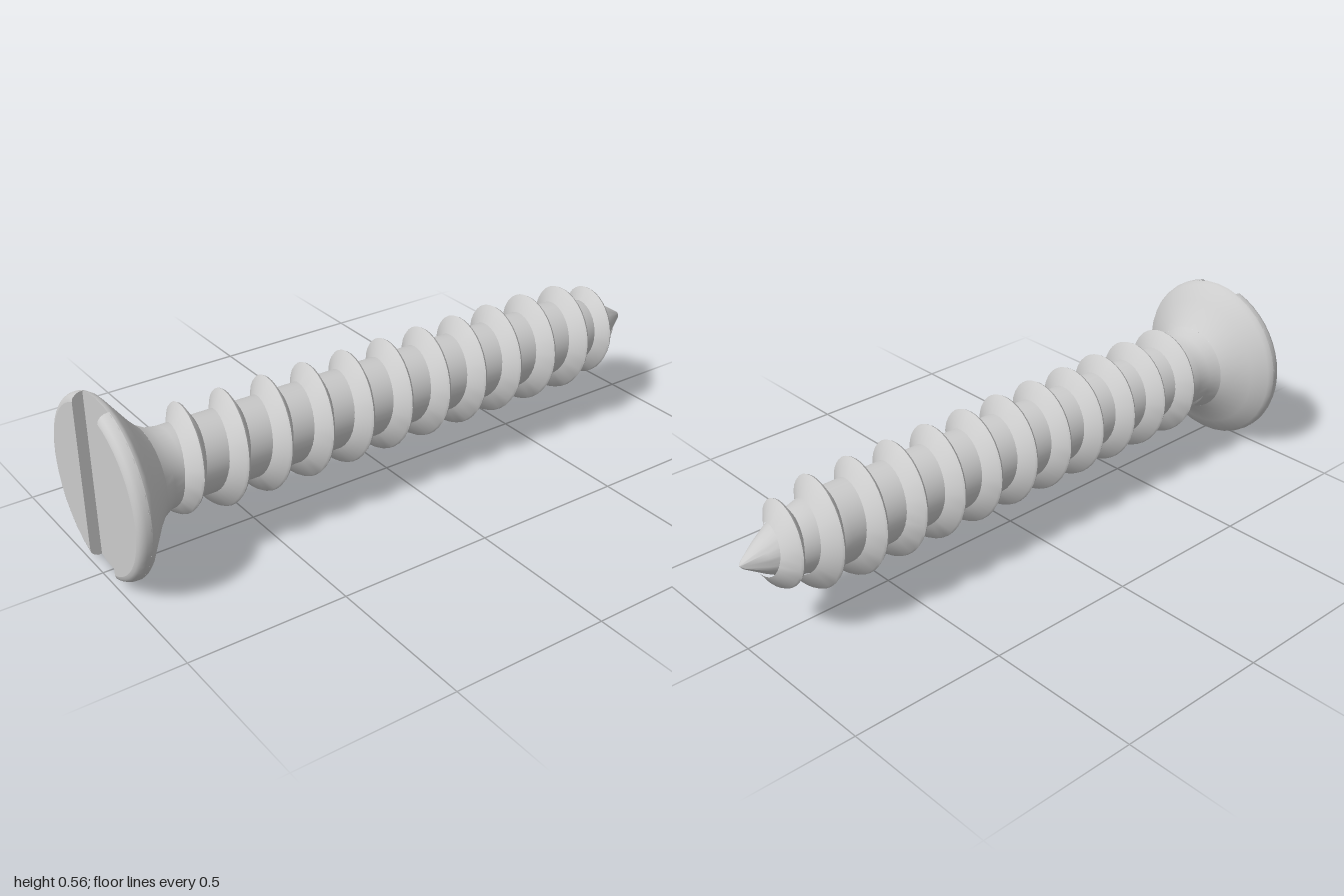
import * as THREE from 'three';
import { toCreasedNormals } from 'three/addons/utils/BufferGeometryUtils.js';

const material = new THREE.MeshStandardMaterial({ color: 0xcccccc });
const HEAD_R = 0.278, SLOT_Z = 0.966, SLOT_HALF = 0.08;

// [z, radius] from the tip to the underside of the head
const shaftProfile = [
  [-1, 0], [-0.988, 0.013], [-0.93, 0.05], [-0.87, 0.082], [-0.8, 0.1], [-0.74, 0.115], [-0.7, 0.118],
  [0.77, 0.118], [0.81, 0.124], [0.845, 0.144],
];
const headProfile = [[0.845, 0.144], [0.875, 0.176], [0.91, 0.222], [0.945, 0.268], [0.956, 0.276], [SLOT_Z, HEAD_R], [SLOT_Z, 0]];
// [z, radius] of the thread's crest
const crestProfile = [[-0.93, 0.045], [-0.905, 0.095], [-0.88, 0.128], [-0.83, 0.142], [-0.78, 0.157], [-0.7, 0.17], [1, 0.17]];

// Linear lookup in a [z, radius] profile
function radiusAt(profile, z) {
  if (z <= profile[0][0]) return profile[0][1];
  for (let i = 1; i < profile.length; i++) {
    const [z0, r0] = profile[i - 1], [z1, r1] = profile[i];
    if (z <= z1) return r0 + (r1 - r0) * (z - z0) / (z1 - z0);
  }
  return profile[profile.length - 1][1];
}

function mesh(name, geometry, crease) {
  const m = new THREE.Mesh(toCreasedNormals(geometry, crease), material);
  m.name = name;
  return m;
}

// Solid of revolution around z
function lathe(profile) {
  return new THREE.LatheGeometry(profile.map(([z, r]) => new THREE.Vector2(r, z)), 36).rotateX(Math.PI / 2);
}

// Surface through rows of [x, y, z] points
function grid(rows) {
  const n = rows[0].length, index = [];
  for (let i = 0; i < rows.length - 1; i++) {
    for (let j = 0; j < n - 1; j++) {
      const a = i * n + j, c = a + n;
      index.push(a, a + 1, c, a + 1, c + 1, c);
    }
  }
  const g = new THREE.BufferGeometry();
  g.setAttribute('position', new THREE.Float32BufferAttribute(rows.flat(2), 3));
  g.setIndex(index);
  return g;
}

// Helical ridge, fading in below the head and out at the tip
function threadGeometry() {
  const rows = [], start = -0.42, end = 11.95, steps = 450, pitch = 0.1437;
  for (let i = 0; i <= steps; i++) {
    const turn = start + (end - start) * i / steps;
    const angle = turn * Math.PI * 2;
    let z = 0.745 - pitch * turn;
    if (z < -0.75) z = -0.75 + (z + 0.75) * 0.8;
    const core = radiusAt(shaftProfile, z);
    const fade = Math.min(1, (turn - start) / 0.44);
    const crest = core + (radiusAt(crestProfile, z) - core) * fade;
    const half = 0.012 + 0.028 * Math.max(0, Math.min(1, (crest - core) / 0.05));
    const section = [[half, -0.008], [0.007, crest - core - 0.004], [0, crest - core], [-0.007, crest - core - 0.004], [-half, -0.008]];
    rows.push(section.map(([dz, dr]) => {
      const r = Math.max(0.002, core + dr);
      return [Math.cos(angle) * r, Math.sin(angle) * r, z + dz];
    }));
  }
  return grid(rows);
}

// One raised half of the head's face, beside the slot
function headHalf(name) {
  const g = new THREE.Group();
  g.name = name;
  const edge = [[SLOT_Z - 0.004, HEAD_R], [0.978, 0.277], [0.989, 0.272], [0.997, 0.264], [1, 0.254]];
  const arc = (r, z) => Array.from({ length: 21 }, (_, j) => {
    const a = Math.acos(SLOT_HALF / r) * (j / 10 - 1);
    return [r * Math.cos(a), r * Math.sin(a), z];
  });
  const rows = edge.map(([z, r]) => arc(r, z));
  const face = rows[rows.length - 1];
  g.add(mesh('rim', grid(rows), 0.7));
  g.add(mesh('face', grid([face, face.map(([, y, z]) => [SLOT_HALF, y, z])]), 0.7));
  g.add(mesh('slotWall', grid(rows.map((row) => [row[20], row[0]])), 0.7));
  return g;
}

export function createModel() {
  const model = new THREE.Group();
  model.name = 'screw';
  model.add(mesh('shaft', lathe(shaftProfile), 0.8));
  model.add(mesh('thread', threadGeometry(), 0.7));

  // Countersunk head, its slot turned very slightly
  const head = new THREE.Group();
  head.name = 'head';
  head.add(mesh('headCone', lathe(headProfile), 0.8));
  const left = headHalf('leftHeadHalf');
  const right = headHalf('rightHeadHalf');
  right.rotation.z = Math.PI;
  head.add(left, right);
  head.rotation.z = 0.018;
  model.add(head);

  // Lying on the rim of the head
  model.children.forEach((part) => { part.position.y = HEAD_R; });
  return model;
}
